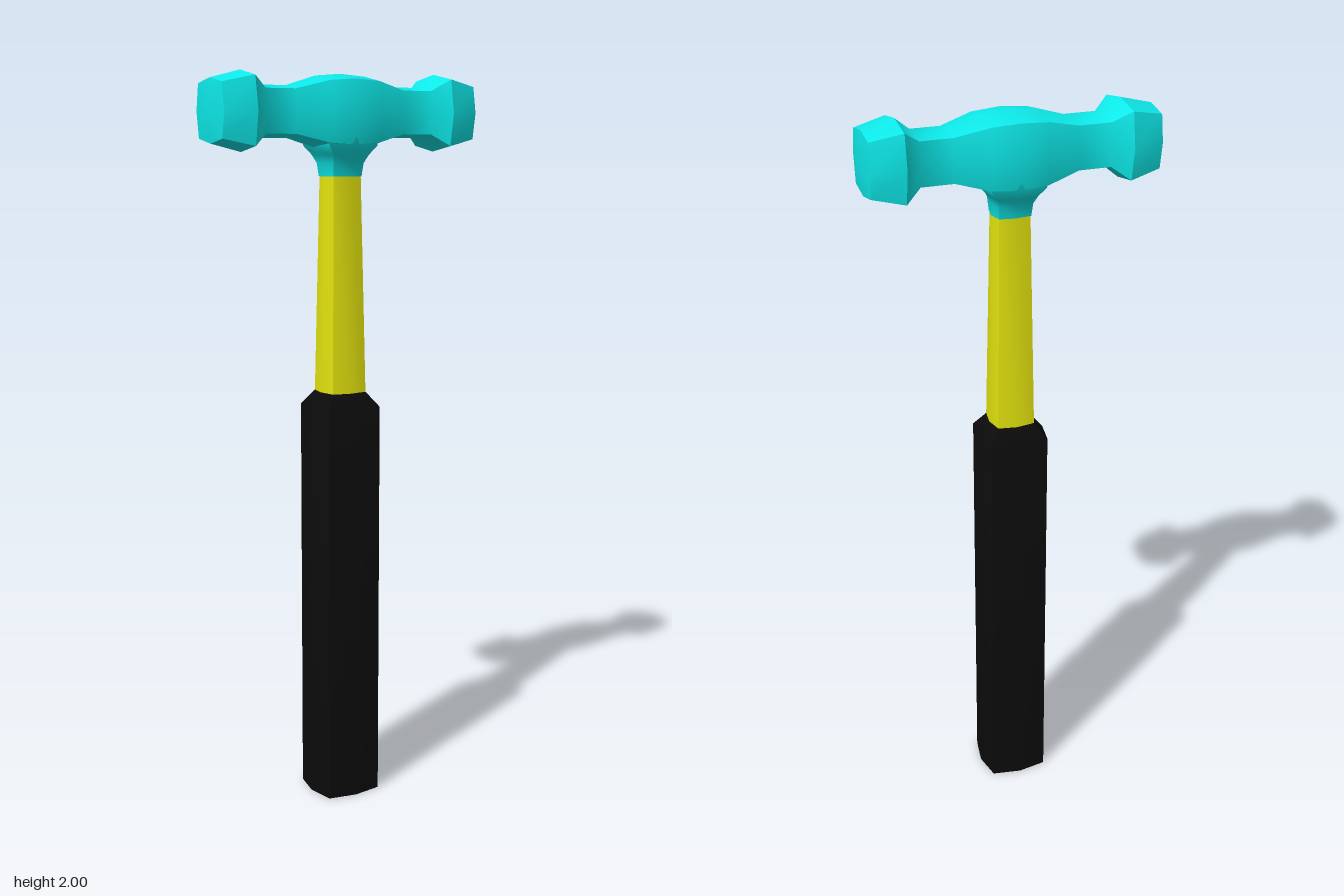
import * as THREE from 'three';
import { toCreasedNormals } from 'three/addons/utils/BufferGeometryUtils.js';

// Bulged-square ring: side midpoints at full radius, corners on the diagonals
const CORNER = 0.85;
const RING = [[1, 0], [CORNER, CORNER], [0, 1], [-CORNER, CORNER], [-1, 0], [-CORNER, -CORNER], [0, -1], [CORNER, -CORNER]];

// Loft the ring along y through sections [y, rx, rz]; a zero radius closes an end
function loft(sections) {
  const pos = [];
  const index = [];
  const n = RING.length;
  for (const [y, rx, rz = rx] of sections) {
    for (const [x, z] of RING) pos.push(x * rx, y, z * rz);
  }
  for (let s = 0; s < sections.length - 1; s++) {
    for (let i = 0; i < n; i++) {
      const a = s * n + i;
      const b = s * n + ((i + 1) % n);
      if (sections[s + 1][1] > 0) index.push(a, a + n, b + n);
      if (sections[s][1] > 0) index.push(a, b + n, b);
    }
  }
  const geometry = new THREE.BufferGeometry();
  geometry.setAttribute('position', new THREE.Float32BufferAttribute(pos, 3));
  geometry.setIndex(index);
  return toCreasedNormals(geometry, 0.8);
}

function part(name, geometry, color) {
  const mesh = new THREE.Mesh(geometry, new THREE.MeshStandardMaterial({ color }));
  mesh.name = name;
  return mesh;
}

export function createModel() {
  const group = new THREE.Group();
  group.name = 'hammer';
  const cyan = 0x0eeaea;

  // Rubber grip with a chamfered top
  group.add(part('grip', loft([[0, 0], [0, 0.094, 0.092], [1.11, 0.094, 0.092], [1.15, 0.06], [1.15, 0]]), 0x0b0b0c));

  // Tapered shaft
  group.add(part('shaft', loft([[1.14, 0], [1.14, 0.06], [1.74, 0.049, 0.044], [1.74, 0]]), 0xe6e60f));

  // Flared socket joining shaft and head
  group.add(part('socket', loft([
    [1.73, 0], [1.73, 0.051, 0.046], [1.765, 0.054, 0.054], [1.787, 0.064, 0.07], [1.81, 0.085, 0.085], [1.87, 0.095, 0.092], [1.87, 0],
  ]), cyan));

  // Double-faced head, half profile mirrored across x
  const half = [[0.39, 0], [0.379, 0.082], [0.294, 0.103], [0.25, 0.067], [0.163, 0.067], [0.075, 0.093]];
  const profile = [...half.map(([x, r]) => [-x, r]), [0, 0.099], ...half.slice().reverse()];
  const head = part('head', loft(profile).rotateZ(-Math.PI / 2), cyan);
  head.position.y = 1.897;
  group.add(head);

  return group;
}
